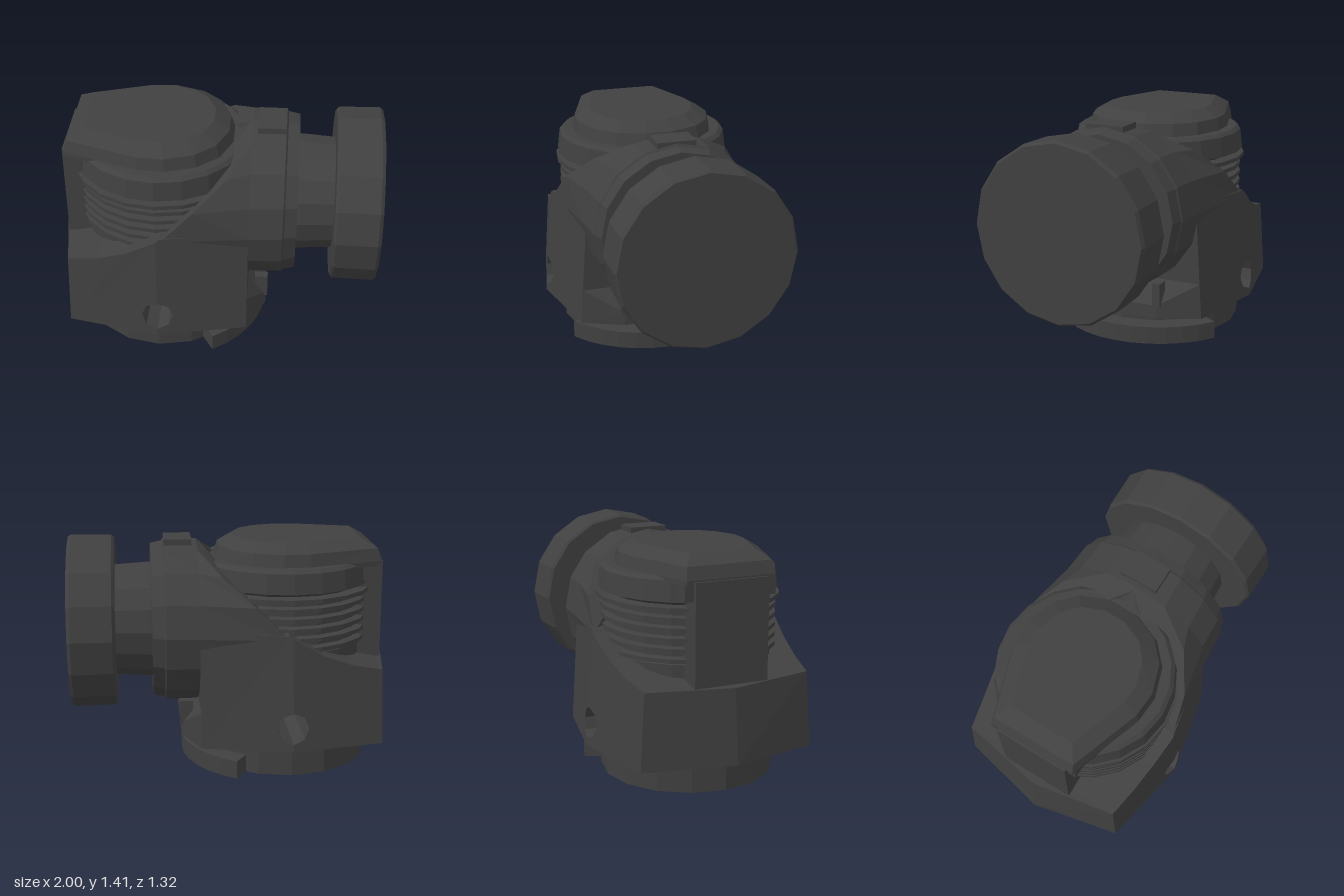
import * as THREE from 'three';

const CX = -0.33; // vertical axis of the base, housing and motor
const AY = 0.87;  // height of the horizontal arm axis

// Housing half-depth: faceted footprint tapering with height
const FOOT = [[-1, 0], [-0.88, 0.55], [-0.32, 0.66], [0.22, 0.55], [0.33, 0.3]];
function halfDepth(x, y) {
  let d = FOOT[FOOT.length - 1][1];
  for (let i = 0; i < FOOT.length - 1; i++) {
    const [x0, d0] = FOOT[i], [x1, d1] = FOOT[i + 1];
    if (x >= x0 - 1e-6 && x <= x1 + 1e-6) {
      d = d0 + (d1 - d0) * (x - x0) / (x1 - x0);
      break;
    }
  }
  return Math.max(0, d * (1 - 0.118 * (y - 0.2)));
}

// Faceted normals
function facet(geo) {
  const g = geo.index ? geo.toNonIndexed() : geo;
  g.computeVertexNormals();
  return g;
}

// Closed solid through rings of [x, y, z] points, counter-clockwise about the axis
function loft(rings) {
  const n = rings[0].length, pos = rings.flat(2), idx = [];
  for (let r = 0; r < rings.length - 1; r++) {
    for (let i = 0; i < n; i++) {
      const a = r * n + i, b = r * n + (i + 1) % n;
      idx.push(a, b, b + n, a, b + n, a + n);
    }
  }
  const last = (rings.length - 1) * n;
  for (let i = 1; i < n - 1; i++) {
    idx.push(0, i + 1, i, last, last + i, last + i + 1);
  }
  const g = new THREE.BufferGeometry();
  g.setAttribute('position', new THREE.Float32BufferAttribute(pos, 3));
  g.setIndex(idx);
  return g;
}

// Front outline spread to both sides of the housing
function housingPanel(points) {
  const shape = new THREE.Shape(points.map(([x, y]) => new THREE.Vector2(x, y)));
  const g = new THREE.ExtrudeGeometry(shape, { depth: 1, bevelEnabled: false });
  const p = g.attributes.position;
  for (let i = 0; i < p.count; i++) {
    const x = p.getX(i), y = p.getY(i), d = halfDepth(x, y);
    p.setZ(i, p.getZ(i) > 0.5 ? d : -d);
    // The nose leans back slightly
    if (x < -0.85) p.setX(i, x + (y - 0.2) * (x < -0.95 ? 0.09 : 0.03));
  }
  return g;
}

function lathe(points, segments) {
  return new THREE.LatheGeometry(points.map(([r, y]) => new THREE.Vector2(r, y)), segments);
}

export function createModel() {
  const model = new THREE.Group();
  const charcoal = new THREE.MeshStandardMaterial({ color: 0x404040 });
  charcoal.name = 'charcoal';

  function add(name, geo, x = 0, y = 0, z = 0) {
    const mesh = new THREE.Mesh(facet(geo), charcoal);
    mesh.name = name;
    mesh.position.set(x, y, z);
    model.add(mesh);
    return mesh;
  }

  // Base ring with a bore, and the foot flange on one side
  add('baseRing', lathe([[0.27, 0.21], [0.27, 0], [0.53, 0], [0.53, 0.21]], 16), CX);
  const flange = new THREE.Shape();
  flange.absarc(0, 0, 0.65, -1.02, 1.02, false);
  flange.absarc(0, 0, 0.4, 1.02, -1.02, true);
  add('footFlange', new THREE.ExtrudeGeometry(flange, { depth: 0.11, bevelEnabled: false, curveSegments: 6 })
    .rotateX(-Math.PI / 2), CX);

  // Housing, split along the middle of the cross hole
  const hole = (side) => [-90, -45, 0, 45, 90].map((deg) => {
    const a = deg * Math.PI / 180;
    return [-0.32 + side * 0.095 * Math.cos(a), 0.34 + 0.095 * Math.sin(a)];
  });
  add('housingNose', housingPanel([[-1, 0.2], [-0.88, 0.2], [-0.88, 0.66], [-1, 0.65]]));
  add('housingRear', housingPanel([
    [-0.88, 0.2], [-0.32, 0.2], ...hole(-1), [-0.32, 0.88], [-0.5, 0.77], [-0.68, 0.7], [-0.88, 0.66],
  ]));
  add('housingFront', housingPanel([
    [-0.32, 0.2], [0.22, 0.2], [0.22, 0.9], [-0.296, 0.9], [-0.32, 0.88], ...hole(1).reverse(),
  ]));
  add('housingLip', housingPanel([[0.22, 0.2], [0.33, 0.2], [0.33, 0.28], [0.22, 0.42]]));
  for (const s of [-1, 1]) {
    add('lipStrut', new THREE.BoxGeometry(0.08, 0.15, 0.05), 0.3, 0.35, s * 0.3);
  }

  // Arm trunk: rounded section, cut off along the sloping motor opening
  const trunkRing = (h, w, xAt) => Array.from({ length: 16 }, (_, i) => {
    const a = i / 16 * Math.PI * 2;
    const y = AY + h * Math.cos(a);
    return [xAt(y), y, w * Math.sin(a)];
  });
  const cut = (y) => Math.min(0.2, Math.max(-0.3, -0.32 + (y - 0.88) * 1.2));
  add('armTrunk', loft([
    trunkRing(0.49, 0.595, cut),
    trunkRing(0.505, 0.525, () => 0.22),
    trunkRing(0.51, 0.51, () => 0.42),
    trunkRing(0.495, 0.5, () => 0.43),
    trunkRing(0.48, 0.48, () => 0.5),
  ]));
  add('trunkPad', new THREE.BoxGeometry(0.17, 0.06, 0.24), 0.335, 1.36, 0);

  // Neck and end disc, turned about the arm axis
  const turned = (name, points) => {
    add(name, lathe(points, 16).rotateZ(-Math.PI / 2), 0, AY);
  };
  turned('armNeck', [[0.36, 0.48], [0.36, 0.52], [0.345, 0.74]]);
  turned('endDisc', [[0, 0.72], [0.52, 0.72], [0.535, 0.735], [0.54, 0.98], [0.525, 1], [0, 1]]);

  // Motor body with cooling ribs
  const profile = [[0, 0.5], [0.5, 0.5], [0.5, 0.76]];
  for (let i = 0; i < 6; i++) {
    const y = 0.77 + i * 0.06;
    const r = i === 5 ? 0.55 : 0.53;
    profile.push([0.48, y], [r, y + 0.005], [r, y + 0.03], [0.48, y + 0.035]);
  }
  profile.push([0.51, 1.12], [0.54, 1.13], [0.525, 1.25], [0.5, 1.27], [0, 1.27]);
  add('motorBody', lathe(profile, 20), CX);

  // Motor cap: elongated polygon with a sloping rim
  const half = [[-0.28, 0.43], [-0.1, 0.37], [0.02, 0.26], [0.09, 0.09]];
  const outline = [
    ...half,
    ...half.map(([x, z]) => [x, -z]).reverse(),
    [-0.44, -0.42], [-0.88, -0.27], [-0.88, 0.27], [-0.44, 0.42],
  ];
  const capRing = (y, sx, sz) => outline.map(([x, z]) => [-0.39 + (x + 0.39) * sx, y, z * sz]);
  add('motorCap', loft([
    capRing(1.24, 1.03, 1.02), capRing(1.27, 1.03, 1.02), capRing(1.345, 0.98, 0.98), capRing(1.4, 0.79, 0.76),
  ]));

  // Flat connector plate behind the motor, with clips at its upper corners
  add('backPlate', new THREE.BoxGeometry(0.14, 0.66, 0.46), -0.84, 0.93, 0);
  for (const s of [-1, 1]) {
    add('plateClip', new THREE.BoxGeometry(0.1, 0.1, 0.07), -0.835, 1.2, s * 0.25);
  }

  return model;
}
